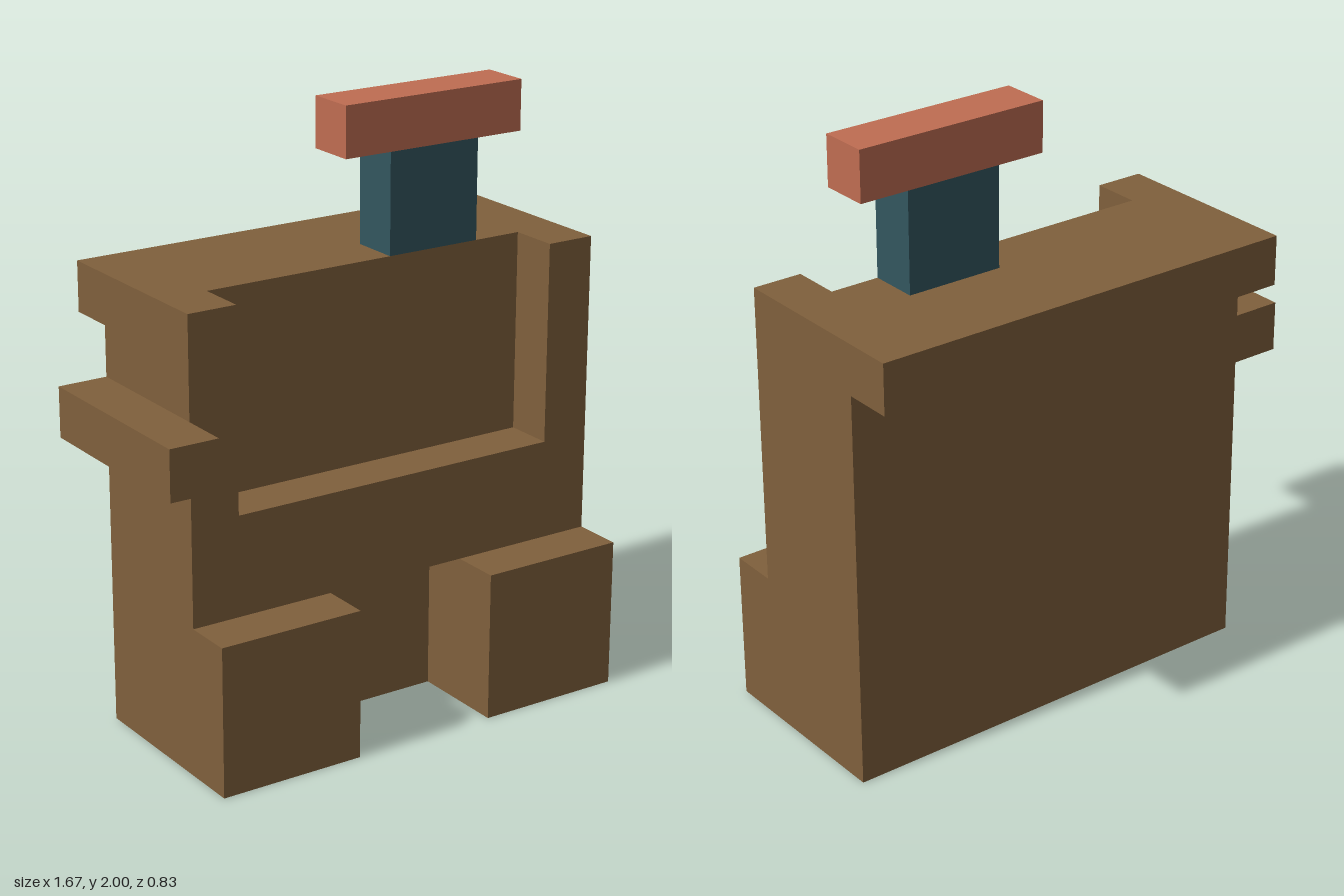
import * as THREE from 'three';

// Everything sits on a grid of one sixth
const U = 1 / 6;

function material(name, color) {
  const m = new THREE.MeshStandardMaterial({ color });
  m.name = name;
  return m;
}

// Box from grid ranges [min, max]
function block(name, mat, [x0, x1], [y0, y1], [z0, z1]) {
  const geo = new THREE.BoxGeometry((x1 - x0) * U, (y1 - y0) * U, (z1 - z0) * U);
  const mesh = new THREE.Mesh(geo, mat);
  mesh.name = name;
  mesh.position.set((x0 + x1) * U / 2, (y0 + y1) * U / 2, (z0 + z1) * U / 2);
  return mesh;
}

export function createModel() {
  const brown = material('brown', 0x80603c);
  const teal = material('teal', 0x33565f);
  const red = material('terracotta', 0xbf6d52);

  const model = new THREE.Group();
  model.name = 'blockFigure';

  // Rear half of the torso
  model.add(block('torsoBack', brown, [-4, 5], [0, 9], [-1.5, 0.5]));

  // Front half: open at the top for the chest recess, at the bottom between the legs
  const outline = [
    [-4, 0], [-1, 0], [-1, 3], [2, 3], [2, 0], [5, 0],
    [5, 9], [4, 9], [4, 5], [-3, 5], [-3, 9], [-4, 9],
  ].map(([x, y]) => new THREE.Vector2(x * U, y * U));
  const torsoFront = new THREE.Mesh(
    new THREE.ExtrudeGeometry(new THREE.Shape(outline), { depth: U, bevelEnabled: false }),
    brown
  );
  torsoFront.name = 'torsoFront';
  torsoFront.position.z = 0.5 * U;
  model.add(torsoFront);

  // Feet stepping forward
  model.add(block('rightFoot', brown, [-4, -1], [0, 3], [1.5, 2.5]));
  model.add(block('leftFoot', brown, [2, 5], [0, 3], [1.5, 2.5]));

  // Ledge along the upper back
  model.add(block('backLedge', brown, [-4, 5], [8, 9], [-2.5, -1.5]));

  // Single arm reaching forward
  model.add(block('rightArm', brown, [-5, -4], [6, 7], [-1.5, 2.5]));

  // Neck and head bar
  model.add(block('neck', teal, [1, 3], [9, 11], [-0.5, 0.5]));
  model.add(block('headBar', red, [0, 4], [11, 12], [-0.5, 0.5]));

  return model;
}
